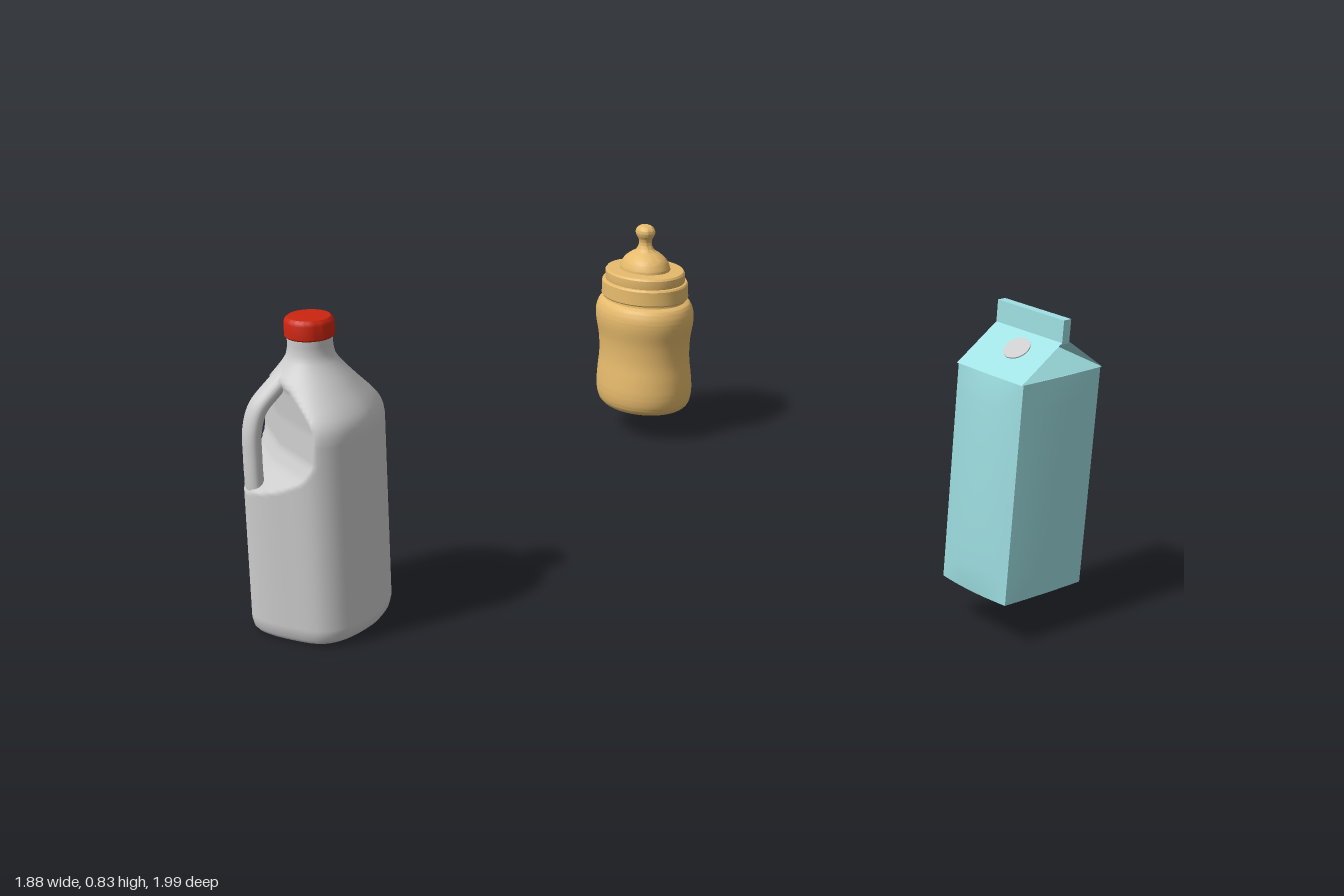
import * as THREE from 'three';
import { toCreasedNormals } from 'three/addons/utils/BufferGeometryUtils.js';

const mat = (color) => new THREE.MeshStandardMaterial({ color, roughness: 0.6, side: THREE.DoubleSide });
const GREY = mat(0xcccccc), RED = mat(0xcc2510), TAN = mat(0xe6ba6c), TEAL = mat(0x9fe0e3);

function part(name, geometry, material, parent) {
  const mesh = new THREE.Mesh(geometry, material);
  mesh.name = name;
  parent.add(mesh);
  return mesh;
}

// Skin a stack of closed rings (counter-clockwise from above, bottom to top)
function loft(rings) {
  const n = rings[0].length, index = [];
  for (let i = 0; i < rings.length - 1; i++) {
    for (let j = 0; j < n; j++) {
      const k = (j + 1) % n;
      const a = i * n + j, b = i * n + k, c = b + n, d = a + n;
      index.push(a, b, c, a, c, d);
    }
  }
  const g = new THREE.BufferGeometry().setFromPoints(rings.flat());
  g.setIndex(index);
  g.computeVertexNormals();
  return g;
}

// Smooth lathe with creases at hard steps
function lathe(points, segments = 48) {
  const g = new THREE.LatheGeometry(points.map((p) => new THREE.Vector2(...p)), segments);
  return toCreasedNormals(g, 0.6);
}

// Piecewise-linear lookup in [[key, value], ...]
function lookup(table, t) {
  for (let i = 1; i < table.length; i++) {
    const [a, va] = table[i - 1], [b, vb] = table[i];
    if (t <= b) return THREE.MathUtils.mapLinear(Math.max(t, a), a, b, va, vb);
  }
  return table[table.length - 1][1];
}

function createJug() {
  const jug = new THREE.Group();
  jug.name = 'milkJug';

  // Plan outline: round front, tapering towards the handle side
  const half = [[0.105, 0.135], [0.0, 0.188], [-0.065, 0.178], [-0.13, 0.11], [-0.173, 0.045]];
  const plan = [[0.183, 0], ...half.map(([x, z]) => [x, -z]), [-0.187, 0],
    ...half.slice().reverse()].map(([x, z]) => new THREE.Vector3(x, 0, z));
  const outline = new THREE.CatmullRomCurve3(plan, true).getSpacedPoints(96).slice(0, 96);

  // Height and scale of each ring, starting in the hollow of the base
  const profile = [[0.035, 0.001], [0.03, 0.5], [0.012, 0.75], [0.002, 0.86], [0.004, 0.93], [0.015, 0.975], [0.035, 1]];
  const side = [[0.035, 1], [0.54, 1], [0.565, 0.98], [0.585, 0.93], [0.605, 0.84], [0.64, 0.65],
    [0.675, 0.47], [0.695, 0.38], [0.71, 0.33], [0.73, 0.305], [0.77, 0.3]];
  for (let i = 1; i <= 74; i++) {
    const y = 0.035 + (i / 74) * 0.735;
    profile.push([y, lookup(side, y)]);
  }
  // How far the wall reaches behind the grip
  const recess = [[0.37, -0.21], [0.39, -0.165], [0.41, -0.125], [0.44, -0.09], [0.48, -0.07],
    [0.56, -0.065], [0.64, -0.07], [0.7, -0.1], [0.72, -0.2]];
  const rings = profile.map(([y, s]) => {
    const round = THREE.MathUtils.smoothstep(y, 0.58, 0.7);
    const limit = lookup(recess, y);
    const lift = y < 0.1 ? 1 - y / 0.1 : 0;
    return outline.map((p) => {
      const k = 1 + (0.185 / p.length() - 1) * round;
      const x = p.x * s * k, z = p.z * s * k;
      const wall = limit - 0.02 * (1 - Math.min(1, Math.abs(z) / 0.17));
      const up = lift * 0.015 * THREE.MathUtils.smoothstep(x, -0.12, 0.08);
      return new THREE.Vector3(Math.max(x, wall), y + up, z);
    });
  });
  part('jugBody', loft(rings), GREY, jug);

  // Grip arching from the lower wall up into the shoulder
  const path = new THREE.CatmullRomCurve3([[-0.155, 0.34], [-0.162, 0.4], [-0.163, 0.47], [-0.16, 0.54],
    [-0.143, 0.592], [-0.105, 0.633], [-0.06, 0.672], [-0.03, 0.7]].map(([x, y]) => new THREE.Vector3(x, y, 0)));
  const grip = new THREE.TubeGeometry(path, 48, 0.0225, 20);
  grip.scale(1, 1, 1.5);
  part('jugHandle', grip, GREY, jug);

  part('jugCap', lathe([[0, 0.757], [0.058, 0.757], [0.062, 0.761], [0.062, 0.795], [0.059, 0.803],
    [0.053, 0.808], [0, 0.809]]), RED, jug);
  jug.position.set(-0.754, 0, 0.02);
  return jug;
}

function createBabyBottle() {
  const bottle = new THREE.Group();
  bottle.name = 'babyBottle';

  // Waisted body
  const body = new THREE.SplineCurve([[0.12, 0.088], [0.15, 0.093], [0.17, 0.112], [0.178, 0.15], [0.175, 0.2],
    [0.168, 0.26], [0.17, 0.32], [0.18, 0.375], [0.18, 0.41], [0.168, 0.438], [0.15, 0.447]]
    .map((p) => new THREE.Vector2(...p))).getPoints(50).map((p) => [p.x, p.y]);
  part('bottleBody', lathe([[0, 0.095], [0.09, 0.09], ...body, [0.148, 0.46]]), TAN, bottle);

  // Screw collar in two steps
  part('bottleCollar', lathe([[0.12, 0.455], [0.157, 0.455], [0.16, 0.459], [0.158, 0.502], [0.154, 0.507],
    [0.146, 0.508], [0.147, 0.512], [0.146, 0.535], [0.141, 0.541], [0.085, 0.543]]), TAN, bottle);

  // Teat: dome, neck and bulb
  const teat = new THREE.SplineCurve([[0.093, 0.54], [0.091, 0.552], [0.078, 0.575], [0.055, 0.592], [0.034, 0.604],
    [0.024, 0.622], [0.025, 0.638], [0.035, 0.655], [0.034, 0.67], [0.02, 0.682], [0, 0.684]]
    .map((p) => new THREE.Vector2(...p))).getPoints(50).map((p) => [Math.max(0, p.x), p.y]);
  part('bottleTeat', lathe(teat), TAN, bottle);

  bottle.scale.set(0.82, 1, 1);
  bottle.position.set(0.685, 0, -0.818);
  return bottle;
}

function createCarton() {
  const carton = new THREE.Group();
  carton.name = 'milkCarton';
  const w = 0.131, d = 0.108, base = 0.117, eave = 0.69, ridge = 0.775, t = 0.012;

  // Box with softly bulging walls
  const corners = [[w, d], [w, -d], [-w, -d], [-w, d]];
  const ring = (y, bulge, s = 1) => corners.flatMap(([x, z], i) => {
    const [x2, z2] = corners[(i + 1) % 4];
    return Array.from({ length: 10 }, (_, j) => {
      const u = j / 10, b = 4 * u * (1 - u) * bulge;
      const px = x + (x2 - x) * u, pz = z + (z2 - z) * u;
      return new THREE.Vector3((px + (i % 2 ? 0 : Math.sign(x) * b)) * s, y,
        (pz + (i % 2 ? Math.sign(z) * b * 0.25 : 0)) * s);
    });
  });
  const rings = [ring(base, 0.008, 0.001), ring(base, 0.008)];
  for (let i = 1; i <= 16; i++) {
    const v = i / 16;
    rings.push(ring(base + (eave - base) * v, 0.008 + 0.011 * Math.pow(Math.sin(Math.PI * Math.min(v, 0.9999)), 0.4)));
  }
  rings.push(ring(eave, 0.008, 0.001));
  part('cartonBody', toCreasedNormals(loft(rings), 0.5), TEAL, carton);

  // Gable: two slopes, with end panels folded inwards
  const roof = [];
  const tri = (...pts) => pts.forEach((p) => roof.push(...p));
  for (const s of [1, -1]) {
    const e = w + 0.006;
    const A = [s * e, eave, d], B = [s * e, eave, -d], C = [s * t, ridge, -d], D = [s * t, ridge, d];
    if (s > 0) { tri(A, B, C); tri(A, C, D); } else { tri(A, C, B); tri(A, D, C); }
    const L = [-e, eave, s * d], R = [e, eave, s * d], P = [0, ridge - 0.012, s * (d - 0.075)];
    const TL = [-t, ridge, s * d], TR = [t, ridge, s * d];
    if (s > 0) { tri(L, R, P); tri(L, P, TL); tri(R, TR, P); } else { tri(R, L, P); tri(P, L, TL); tri(TR, R, P); }
  }
  const gable = new THREE.BufferGeometry();
  gable.setAttribute('position', new THREE.Float32BufferAttribute(roof, 3));
  gable.computeVertexNormals();
  part('cartonGable', gable, TEAL, carton);

  // Sealed fin along the ridge
  const fin = part('cartonFin', new THREE.BoxGeometry(2 * t, 0.06, 2 * d), TEAL, carton);
  fin.position.y = 0.801;

  // Round pouring spot on one slope
  const slope = Math.atan2(ridge - eave, w + 0.006 - t);
  const spot = part('cartonSpout', new THREE.CylinderGeometry(0.034, 0.034, 0.006, 32), GREY, carton);
  spot.position.set(-0.058, eave + (w + 0.006 - 0.058) * Math.tan(slope), 0.01);
  spot.rotation.z = slope;

  carton.rotation.y = 0.087;
  carton.position.set(0.784, 0, 0.873);
  return carton;
}

export function createModel() {
  const model = new THREE.Group();
  model.name = 'milkContainers';
  model.add(createJug(), createBabyBottle(), createCarton());
  return model;
}
